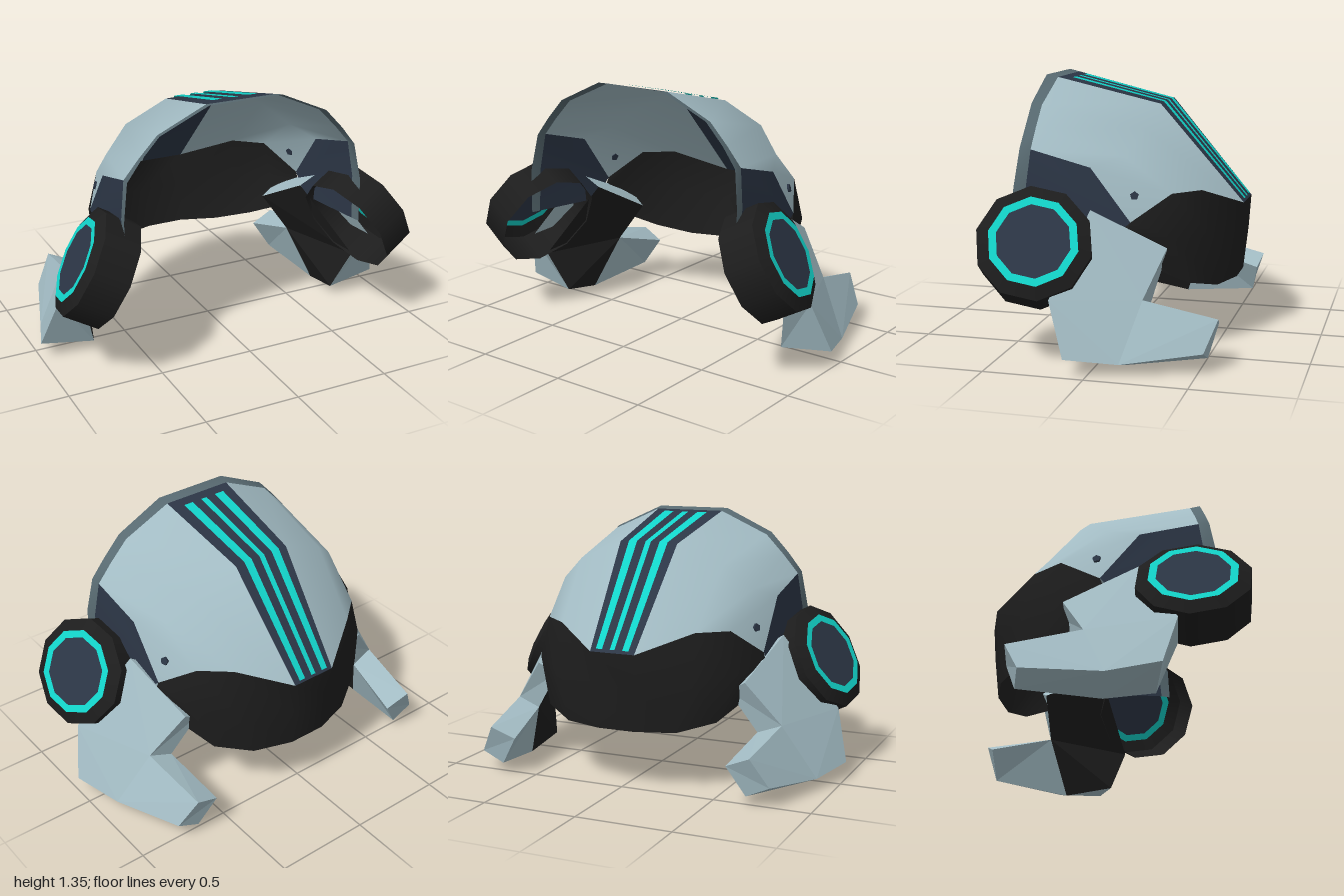
import * as THREE from 'three';

const mat = (name, color) => {
  const m = new THREE.MeshStandardMaterial({ color, side: THREE.DoubleSide });
  m.name = name;
  return m;
};

// Smooth surface through rows of [x, y, z] points
function loft(rows) {
  const n = rows[0].length, index = [];
  for (let r = 0; r < rows.length - 1; r++)
    for (let c = 0; c < n - 1; c++) {
      const a = r * n + c, b = a + 1, d = a + n, e = d + 1;
      index.push(a, b, d, b, e, d);
    }
  const g = new THREE.BufferGeometry();
  g.setAttribute('position', new THREE.Float32BufferAttribute(rows.flat(2), 3));
  g.setIndex(index);
  g.computeVertexNormals();
  return g;
}

// Flat-shaded surface from four-cornered faces
function facets(quads) {
  const g = new THREE.BufferGeometry();
  const p = quads.flatMap(([a, b, c, d]) => [a, b, c, a, c, d]).flat();
  g.setAttribute('position', new THREE.Float32BufferAttribute(p, 3));
  g.computeVertexNormals();
  return g;
}

// Copy reflected across x = 0, with the corner order put right
function mirrored(geo) {
  const g = geo.index ? geo.toNonIndexed() : geo.clone();
  g.scale(-1, 1, 1);
  for (const key of ['position', 'normal']) {
    const a = g.attributes[key].array;
    for (let i = 0; i < a.length; i += 9)
      for (let k = 0; k < 3; k++) [a[i + k], a[i + 6 + k]] = [a[i + 6 + k], a[i + k]];
  }
  return g;
}

// Turn a geometry's y axis to a direction and move it into place
function aim(geo, axis, position) {
  const q = new THREE.Quaternion().setFromUnitVectors(
    new THREE.Vector3(0, 1, 0), new THREE.Vector3(...axis).normalize());
  return geo.applyQuaternion(q).translate(...position);
}

// Extend a half row to both sides of the centre
const full = row => [...row.map(([x, y, z]) => [-x, y, z]).reverse(), ...row];

export function createModel() {
  const model = new THREE.Group();
  model.name = 'helmet';
  const grey = mat('paleGrey', 0xa2bbc3), lipGrey = mat('darkGrey', 0x586a71);
  const navy = mat('navy', 0x2c3646), black = mat('black', 0x1d1d1d), teal = mat('teal', 0x12d4ca);

  const add = (name, geo, material) => {
    const m = new THREE.Mesh(geo, material);
    m.name = name;
    model.add(m);
  };
  const addPair = (name, geo, material) => {
    add(name + 'Left', geo, material);
    add(name + 'Right', mirrored(geo), material);
  };

  // Dome cross-sections, from the centre stripe outward
  const front = [[0.19, 1.338, 0.37], [0.45, 1.22, 0.37], [0.55, 1.115, 0.37], [0.63, 1.02, 0.37]];
  const crown = [[0.16, 1.21, -0.17], [0.4, 1.11, -0.15], [0.54, 0.99, -0.08], [0.62, 0.94, 0.07]];
  const nape = [[0.12, 0.71, -0.6], [0.37, 0.81, -0.43], [0.51, 0.81, -0.31], [0.62, 0.68, -0.13]];
  addPair('shell', loft([front, crown, nape]), grey);
  add('centreStripe', loft([front, crown, nape].map(r => full([r[0]]))), navy);

  // Front lip
  const rimLow = [[0.655, 0.83, 0.39], [0.65, 0.6, 0.41]];
  add('frontLip', loft([
    full([[0.2, 1.35, 0.428], [0.46, 1.23, 0.42], [0.56, 1.122, 0.42], [0.634, 1.025, 0.425],
      [0.665, 0.83, 0.45], [0.66, 0.6, 0.46]]),
    full([...front, ...rimLow]),
  ]), lipGrey);

  // Side panels
  addPair('sidePanel', loft([
    [crown[3], front[3]],
    [nape[3], rimLow[0]],
    [[0.615, 0.58, -0.02], rimLow[1]],
  ]), navy);

  // Neck guard
  add('neckGuard', loft([
    full(nape),
    full([[0.12, 0.54, -0.588], [0.39, 0.58, -0.485], [0.56, 0.6, -0.32], [0.63, 0.6, -0.1]]),
    full([[0.1, 0.315, -0.565], [0.3, 0.315, -0.5], [0.47, 0.36, -0.39], [0.57, 0.46, -0.2]]),
  ]), black);

  // Glowing lines along the centre stripe: height and depth at the front, crown and nape
  const lift = [[1.333, 0.31], [1.217, -0.174], [0.726, -0.597]];
  const line = side => loft(lift.map(([y, z], i) => {
    const x = side * [0.098, 0.086, 0.072][i];
    const w = (side ? [0.027, 0.023, 0.017] : [0.017, 0.015, 0.013])[i];
    return [[x - w, y, z], [x + w, y, z]];
  }));
  add('centreLine', line(0), teal);
  addPair('sideLine', line(1), teal);

  // Small bolts, nearly flush with the shell
  const bolt = new THREE.CylinderGeometry(0.022, 0.022, 0.016, 5);
  addPair('bolt', aim(bolt, [0.89, 0.27, -0.35], [0.582, 0.805, -0.14]), navy);

  // Ear discs, tilted outward and up, with a bevelled rim and an open back
  const place = g => aim(g, [0.86, 0.46, -0.2], [0.86, 0.617, 0.283]);
  const tube = (top, bottom, from, height) =>
    place(new THREE.CylinderGeometry(top, bottom, height, 10, 1, true).translate(0, from - height / 2, 0));
  addPair('earTube', tube(0.285, 0.285, -0.03, 0.19), black);
  addPair('earBevel', tube(0.222, 0.285, 0, 0.03), black);
  addPair('earRing', place(new THREE.RingGeometry(0.183, 0.222, 10, 1, Math.PI / 2).rotateX(-Math.PI / 2)), teal);
  addPair('earDisc', place(new THREE.CircleGeometry(0.183, 10, Math.PI / 2).rotateX(-Math.PI / 2)), navy);

  // Jaw guards: matching outer and inner outlines, open where they enter the ear
  const O = [[0.925, 0.35, 0.19], [1, 0.09, 0.1], [0.92, 0.06, -0.15], [0.8, 0.105, -0.53],
    [0.715, 0.255, -0.585], [0.755, 0.335, -0.225], [0.585, 0.555, -0.305], [0.66, 0.74, 0.06]];
  const I = [[0.79, 0.28, 0.215], [0.72, 0.05, 0.12], [0.74, 0, -0.13], [0.68, 0.05, -0.53],
    [0.587, 0.2, -0.565], [0.63, 0.29, -0.235], [0.49, 0.5, -0.28], [0.55, 0.67, 0.04]];
  const plate = [[7, 0, 5, 6], [0, 1, 2, 5], [2, 3, 4, 5]];
  const outer = plate.map(q => q.map(i => O[i]));
  const inner = plate.map(q => q.map(i => I[i]).reverse());
  const walls = O.slice(0, 7).map((p, i) => [p, I[i], I[i + 1], O[i + 1]]);
  addPair('jawGuard', facets([...outer, ...walls, inner[2]]), grey);
  addPair('jawLining', facets(inner.slice(0, 2)), black);

  return model;
}
